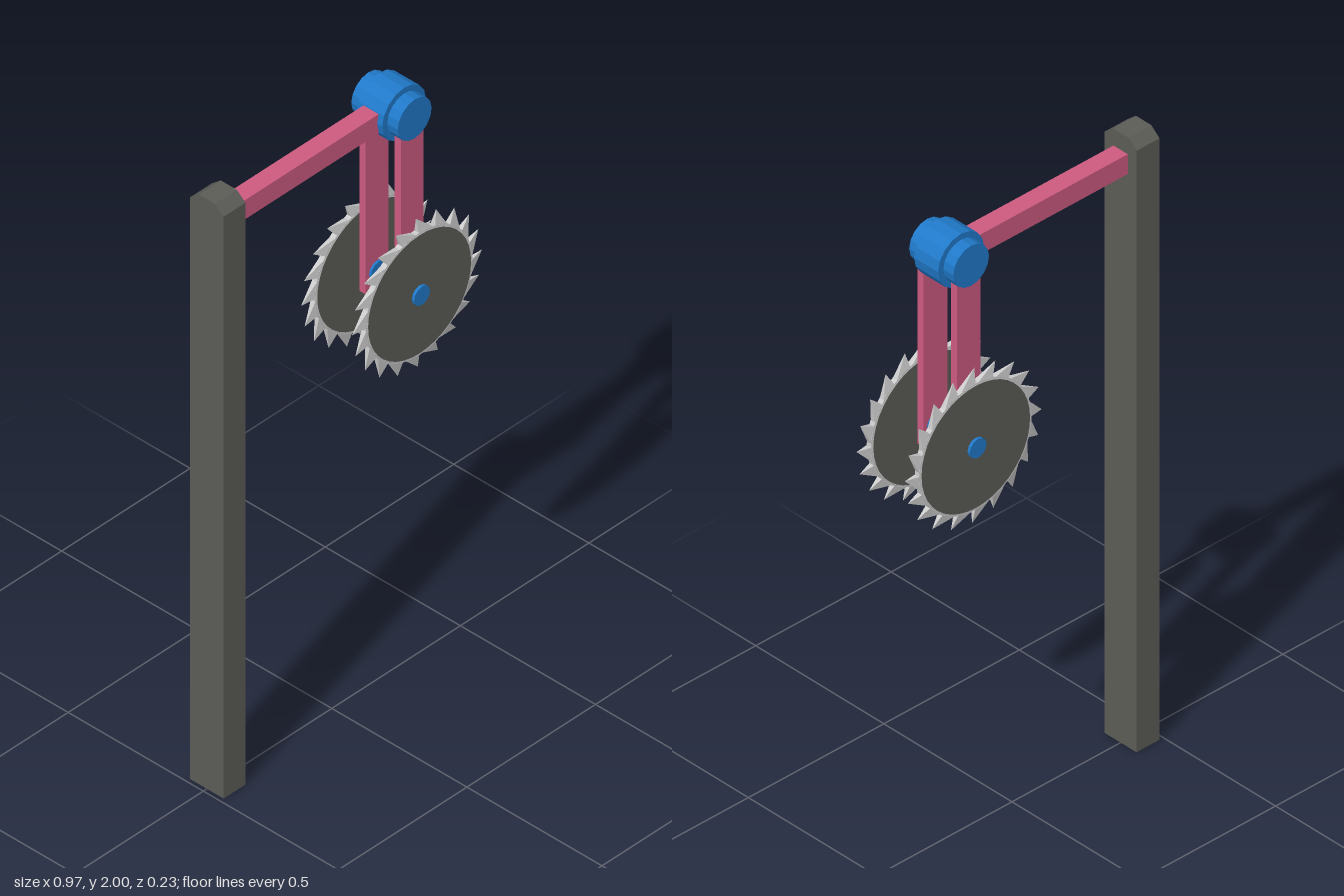
import * as THREE from 'three';

const mat = (name, color) => Object.assign(new THREE.MeshStandardMaterial({ color }), { name });

export function createModel() {
  const model = new THREE.Group();
  const darkGrey = mat('darkGrey', 0x5b5c56);
  const pink = mat('pink', 0xcd5a80);
  const blue = mat('blue', 0x2079c9);
  const steel = mat('steel', 0xcbcbcb);
  steel.flatShading = true;
  blue.flatShading = true;

  const add = (parent, name, geometry, material, x, y, z) => {
    const mesh = new THREE.Mesh(geometry, material);
    mesh.name = name;
    mesh.position.set(x, y, z);
    parent.add(mesh);
    return mesh;
  };
  // Cylinder lying along z
  const disc = (r, depth, sides) =>
    new THREE.CylinderGeometry(r, r, depth, sides).rotateX(Math.PI / 2);

  const hubX = 0.232, hubY = 1.915, axleY = 1.33;

  // Post with a chamfered top, extruded along x
  const outline = new THREE.Shape([
    [-0.062, 0], [0.062, 0], [0.062, 1.973], [0.03, 2], [-0.03, 2], [-0.062, 1.973],
  ].map(([z, y]) => new THREE.Vector2(z, y)));
  const postGeometry = new THREE.ExtrudeGeometry(outline, { depth: 0.085, bevelEnabled: false });
  postGeometry.rotateY(Math.PI / 2);
  add(model, 'post', postGeometry, darkGrey, -0.486, 0, 0);

  // Horizontal arm
  add(model, 'arm', new THREE.BoxGeometry(0.62, 0.065, 0.056), pink, -0.1, 1.912, 0);

  // Pivot drum: wide middle and narrower ends
  add(model, 'pivotDrum', disc(0.085, 0.094, 16), blue, hubX, hubY, 0);
  add(model, 'pivotPin', disc(0.066, 0.172, 16), blue, hubX, hubY, 0);

  // Ring of pointed teeth, each a leaning pyramid on the blade rim
  const teeth = 20, step = (Math.PI * 2) / teeth, half = 0.01;
  const toothPoints = [];
  const polar = (r, a, z) => [r * Math.cos(a), r * Math.sin(a), z];
  for (let i = 0; i < teeth; i++) {
    const a = i * step;
    const f0 = polar(0.2, a, half), f1 = polar(0.2, a + step, half);
    const b0 = polar(0.2, a, -half), b1 = polar(0.2, a + step, -half);
    const tip = polar(0.253, a + step * 1.05, 0);
    for (const face of [[f0, tip, f1], [b0, b1, tip], [f0, b0, tip], [f1, tip, b1]]) {
      toothPoints.push(...face.flat());
    }
  }
  const toothGeometry = new THREE.BufferGeometry();
  toothGeometry.setAttribute('position', new THREE.Float32BufferAttribute(toothPoints, 3));
  toothGeometry.computeVertexNormals();

  // Matching hanger, axle and saw blade on each side
  for (const side of [1, -1]) {
    const saw = new THREE.Group();
    saw.name = side > 0 ? 'frontSaw' : 'backSaw';
    model.add(saw);
    add(saw, 'hanger', new THREE.BoxGeometry(0.088, 0.63, 0.023), pink, hubX, 1.585, side * 0.065);
    add(saw, 'axle', disc(0.031, 0.067, 12), blue, hubX, axleY, side * 0.08);
    add(saw, 'bladeRim', disc(0.207, 0.018, 40), steel, hubX, axleY, side * 0.094);
    add(saw, 'bladeDisc', disc(0.2, 0.021, 40), darkGrey, hubX, axleY, side * 0.094);
    add(saw, 'teeth', toothGeometry, steel, hubX, axleY, side * 0.094);
  }
  return model;
}
